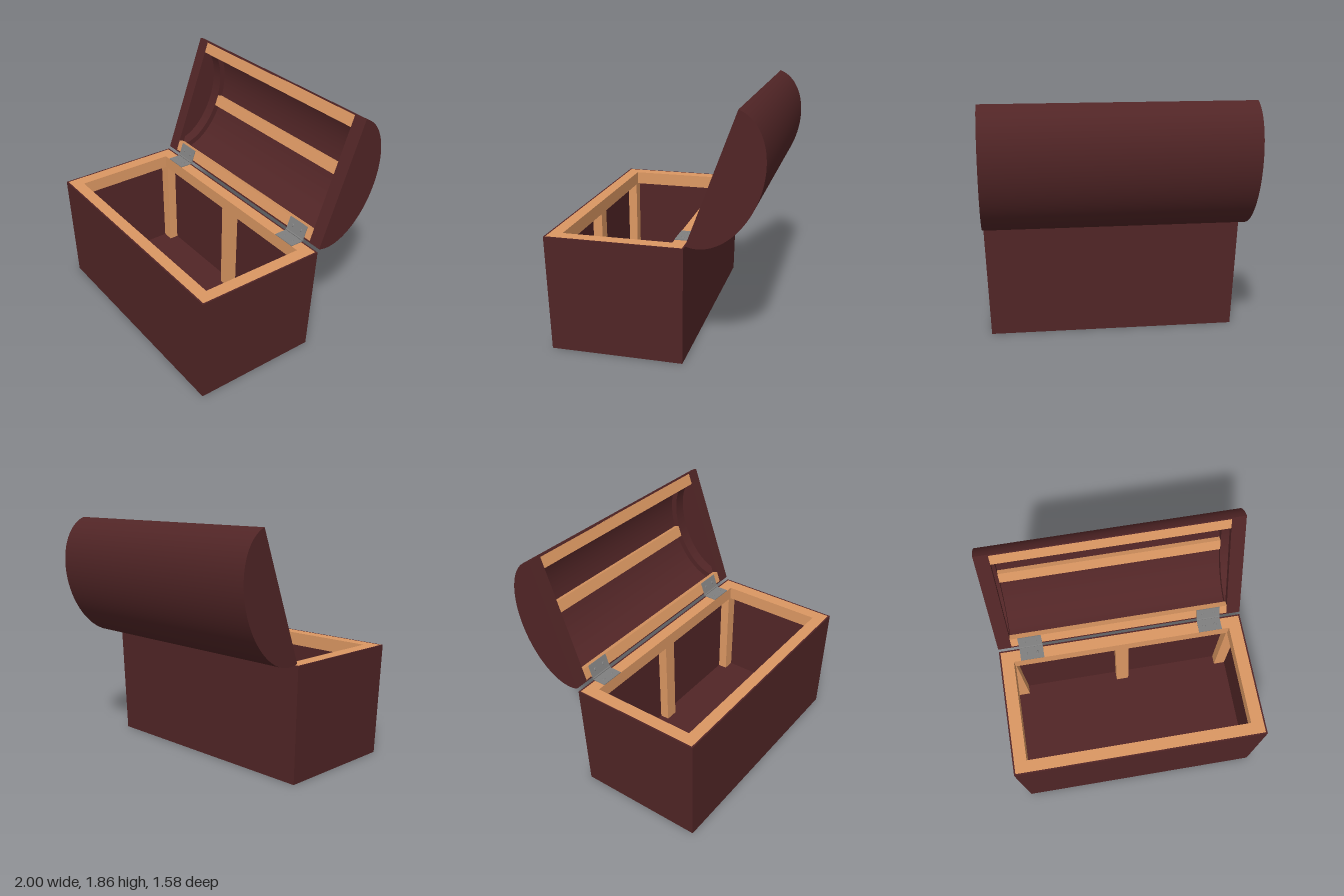
import * as THREE from 'three';
import { toCreasedNormals } from 'three/addons/utils/BufferGeometryUtils.js';

const H = 0.89, HALF_X = 1, HALF_Z = 0.515, BOX_Z = 0.275; // chest body
const A = 0.508, B = 0.343;                               // half-ellipse lid profile
const WALL = 0.012, RAIL = 0.048;

function mat(name, color) {
  const m = new THREE.MeshStandardMaterial({ color });
  m.name = name;
  return m;
}

function add(parent, name, geometry, material, x = 0, y = 0, z = 0) {
  const mesh = new THREE.Mesh(geometry, material);
  mesh.name = name;
  mesh.position.set(x, y, z);
  parent.add(mesh);
  return mesh;
}

// Narrow the body slightly towards the floor
function taper(geo) {
  const p = geo.attributes.position;
  for (let i = 0; i < p.count; i++) {
    const t = 1 - p.getY(i) / H;
    p.setX(i, p.getX(i) * (1 - 0.035 * t));
    p.setZ(i, p.getZ(i) * (1 - 0.029 * t));
  }
  geo.computeVertexNormals();
  return geo;
}

function rectPoints(hx, hz) {
  return [[-hx, -hz], [hx, -hz], [hx, hz], [-hx, hz]].map(([x, y]) => new THREE.Vector2(x, y));
}

// Upright rectangular tube from y0 to y1
function frame(hx, hz, ix, iz, y0, y1) {
  const shape = new THREE.Shape(rectPoints(hx, hz));
  shape.holes.push(new THREE.Path(rectPoints(ix, iz)));
  const geo = new THREE.ExtrudeGeometry(shape, { depth: y1 - y0, bevelEnabled: false });
  return taper(geo.rotateX(-Math.PI / 2).translate(0, y0, 0));
}

function block(x0, x1, y0, y1, z0, z1) {
  return new THREE.BoxGeometry(x1 - x0, y1 - y0, z1 - z0)
    .translate((x0 + x1) / 2, (y0 + y1) / 2, (z0 + z1) / 2);
}

// Half-ellipse points, cut off at depth v0
function arch(a, b, v0 = 0, n = 56) {
  const s = Math.asin(v0 / b);
  return Array.from({ length: n + 1 }, (_, i) => {
    const t = s + (Math.PI - 2 * s) * i / n;
    return new THREE.Vector2(b * Math.sin(t), -a * Math.cos(t));
  });
}

// Extrude a lid profile across the width
function across(shape, x0, x1) {
  const geo = new THREE.ExtrudeGeometry(shape, { depth: x1 - x0, bevelEnabled: false });
  return toCreasedNormals(geo.rotateY(Math.PI / 2).translate(x0, 0, 0), 0.5);
}

export function createModel() {
  const root = new THREE.Group();
  root.name = 'chest';
  const dark = mat('darkWood', 0x512526);
  const light = mat('lightWood', 0xdb9762);
  const metal = mat('hingeMetal', 0x808080);

  // Body
  const body = new THREE.Group();
  body.name = 'body';
  body.position.z = BOX_Z;
  root.add(body);
  const inX = HALF_X - WALL, inZ = HALF_Z - WALL;
  add(body, 'walls', frame(HALF_X, HALF_Z, inX, inZ, 0, H), dark);
  add(body, 'floor', taper(block(-inX, inX, 0, 0.015, -inZ, inZ)), dark);
  add(body, 'rimFrame', frame(inX, inZ, 0.89, 0.41, H - 0.105, H), light);

  // Posts under the rim, front and back
  for (const s of [-1, 1]) {
    for (const [x0, x1] of [[-inX, -0.89], [-0.055, 0.055], [0.89, inX]]) {
      const z0 = s > 0 ? 0.425 : -inZ, z1 = s > 0 ? inZ : -0.425;
      add(body, s > 0 ? 'frontPost' : 'backPost', taper(block(x0, x1, 0.015, H - 0.105, z0, z1)), light);
    }
  }

  // Open lid, leaning back
  const lid = new THREE.Group();
  lid.name = 'lid';
  lid.position.set(0, 1.388, -0.428);
  lid.rotation.x = -0.352;
  root.add(lid);
  const shell = new THREE.Shape([...arch(A, B), ...arch(A - WALL, B - WALL).reverse()]);
  add(lid, 'lidShell', across(shell, -1, 1), dark);
  const panel = new THREE.Shape(arch(A - WALL, B - WALL));
  const ring = new THREE.Shape(arch(A - WALL, B - WALL));
  ring.holes.push(new THREE.Path(arch(A - 0.06, B - 0.06, RAIL)));
  for (const s of [-1, 1]) {
    const at = (a, b) => (s > 0 ? [a, b] : [-b, -a]);
    add(lid, 'lidEndPanel', across(panel, ...at(1 - WALL, 1)), dark);
    add(lid, 'lidEndArch', across(ring, ...at(0.89, 1 - WALL)), dark);
  }

  // Lengthwise rails in the lid
  add(lid, 'topRail', block(-0.89, 0.89, 0.41, 0.5, -RAIL, 0), light);
  add(lid, 'bottomRail', block(-0.89, 0.89, -0.5, -0.41, -RAIL, 0), light);
  add(lid, 'middleRail', block(-0.89, 0.89, -0.047, 0.047, -B + WALL, -0.285), light);

  // Hinges with two screws on each leaf
  for (const s of [-1, 1]) {
    const x = s * 0.735;
    add(root, 'hingeLowerLeaf', block(-0.095, 0.095, H, H + 0.006, -0.243, -0.135), metal, x);
    add(lid, 'hingeUpperLeaf', block(-0.095, 0.095, -0.515, -0.41, 0, 0.006), metal, x);
    const pin = new THREE.CylinderGeometry(0.008, 0.008, 0.19, 12).rotateZ(Math.PI / 2);
    add(root, 'hingePin', pin, metal, x, 0.9, -0.246);
    for (const d of [-0.046, 0.046]) {
      const screw = new THREE.CylinderGeometry(0.01, 0.013, 0.005, 12);
      add(root, 'lowerScrew', screw, metal, x + d, H + 0.008, -0.185);
      add(lid, 'upperScrew', screw.clone().rotateX(Math.PI / 2), metal, x + d, -0.463, 0.008);
    }
  }
  return root;
}
